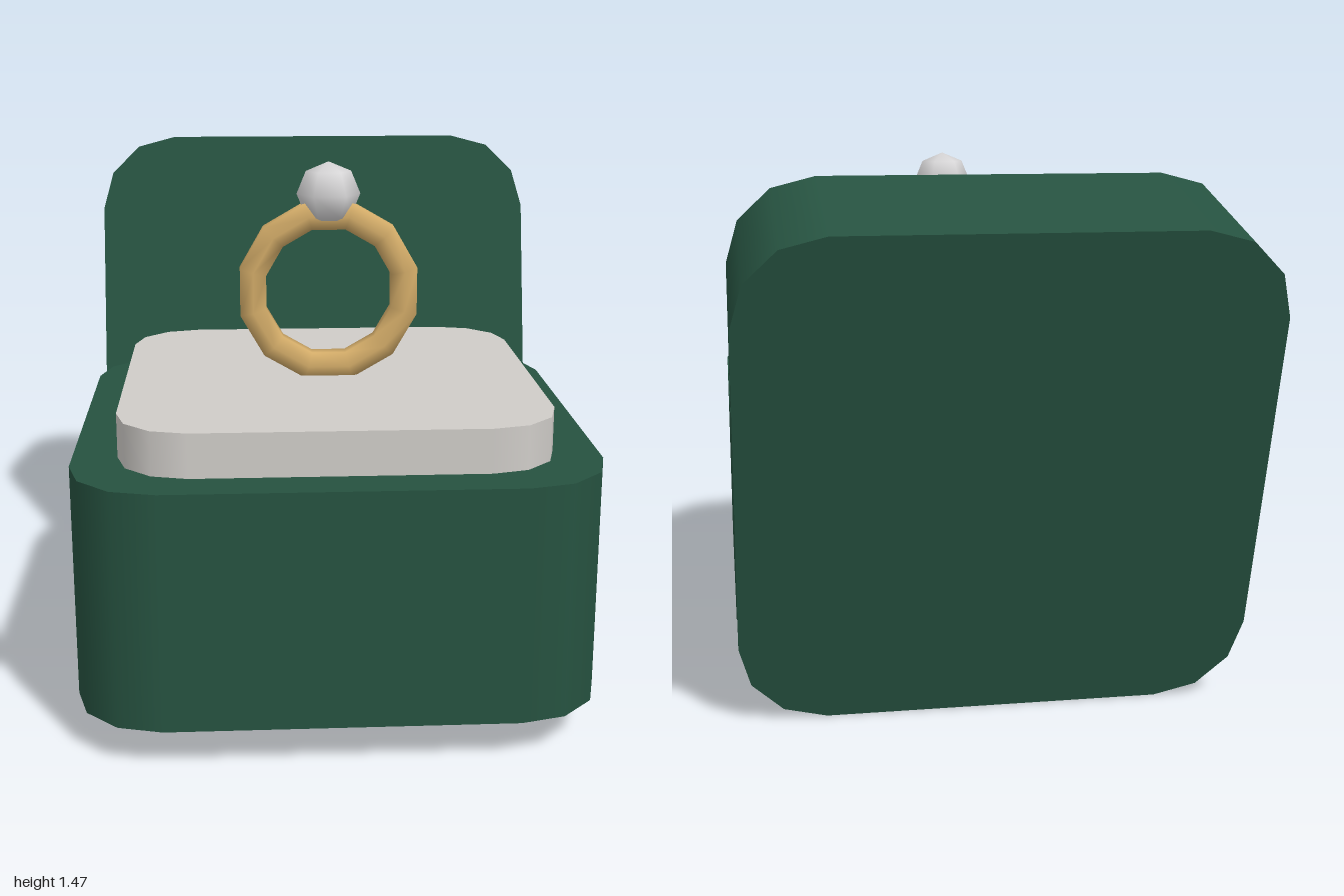
import * as THREE from 'three';

const material = (name, color) => {
  const m = new THREE.MeshStandardMaterial({ color });
  m.name = name;
  return m;
};

// Square block with rounded corners, centred, its thickness along z
function roundedBlock(half, radius, depth) {
  const core = half - radius;
  const points = [];
  [[1, 1], [-1, 1], [-1, -1], [1, -1]].forEach(([sx, sy], corner) => {
    for (let i = 0; i <= 3; i++) {
      const a = (corner + i / 3) * Math.PI / 2;
      points.push(new THREE.Vector2(sx * core + radius * Math.cos(a), sy * core + radius * Math.sin(a)));
    }
  });
  const geometry = new THREE.ExtrudeGeometry(new THREE.Shape(points), { depth, bevelEnabled: false, steps: 1 });
  geometry.translate(0, 0, -depth / 2);

  // Smooth the walls round the corners, keep the rims sharp
  const pos = geometry.attributes.position, nor = geometry.attributes.normal;
  const clamp = (v) => THREE.MathUtils.clamp(v, -core, core);
  for (let i = 0; i < pos.count; i++) {
    if (Math.abs(nor.getZ(i)) > 0.5) continue;
    const x = pos.getX(i), y = pos.getY(i);
    const n = new THREE.Vector2(x - clamp(x), y - clamp(y)).normalize();
    nor.setXYZ(i, n.x, n.y, 0);
  }
  return geometry;
}

// Ring band: hexagonal tube swept round twelve steps, flat sides facing in and out
function bandGeometry(radius, tube) {
  const profile = [];
  for (let i = 0; i <= 6; i++) {
    const a = Math.PI / 6 - i * Math.PI / 3;
    profile.push(new THREE.Vector2(radius + tube * Math.cos(a), -tube * Math.sin(a)));
  }
  return new THREE.LatheGeometry(profile, 12, Math.PI / 12).rotateX(Math.PI / 2);
}

export function createModel() {
  const green = material('green velvet', 0x265240);
  const cream = material('pale cushion', 0xcfccc8);
  const gold = material('gold', 0xd2ab68);
  const stone = material('clear stone', 0xd6d5d6);

  const model = new THREE.Group();
  model.name = 'ringBox';
  const add = (name, geometry, mat, x, y, z) => {
    const mesh = new THREE.Mesh(geometry, mat);
    mesh.name = name;
    mesh.position.set(x, y, z);
    model.add(mesh);
    return mesh;
  };

  // Box base and open lid
  add('base', roundedBlock(0.695, 0.235, 0.637).rotateX(-Math.PI / 2), green, 0, 0.4325, 0.305);
  const lid = add('lid', roundedBlock(0.695, 0.235, 0.44), green, 0, 0.729, -0.6075);
  lid.rotation.x = -Math.PI / 12;

  // Cushion sunk slightly into the base
  add('cushion', roundedBlock(0.576, 0.19, 0.16).rotateX(-Math.PI / 2), cream, 0, 0.79, 0.305);

  // Ring standing on the cushion
  add('ringBand', bandGeometry(0.22, 0.044), gold, 0, 1.112, 0.305);
  add('ringStone', new THREE.SphereGeometry(0.089, 6, 4), stone, 0, 1.386, 0.305);

  return model;
}
